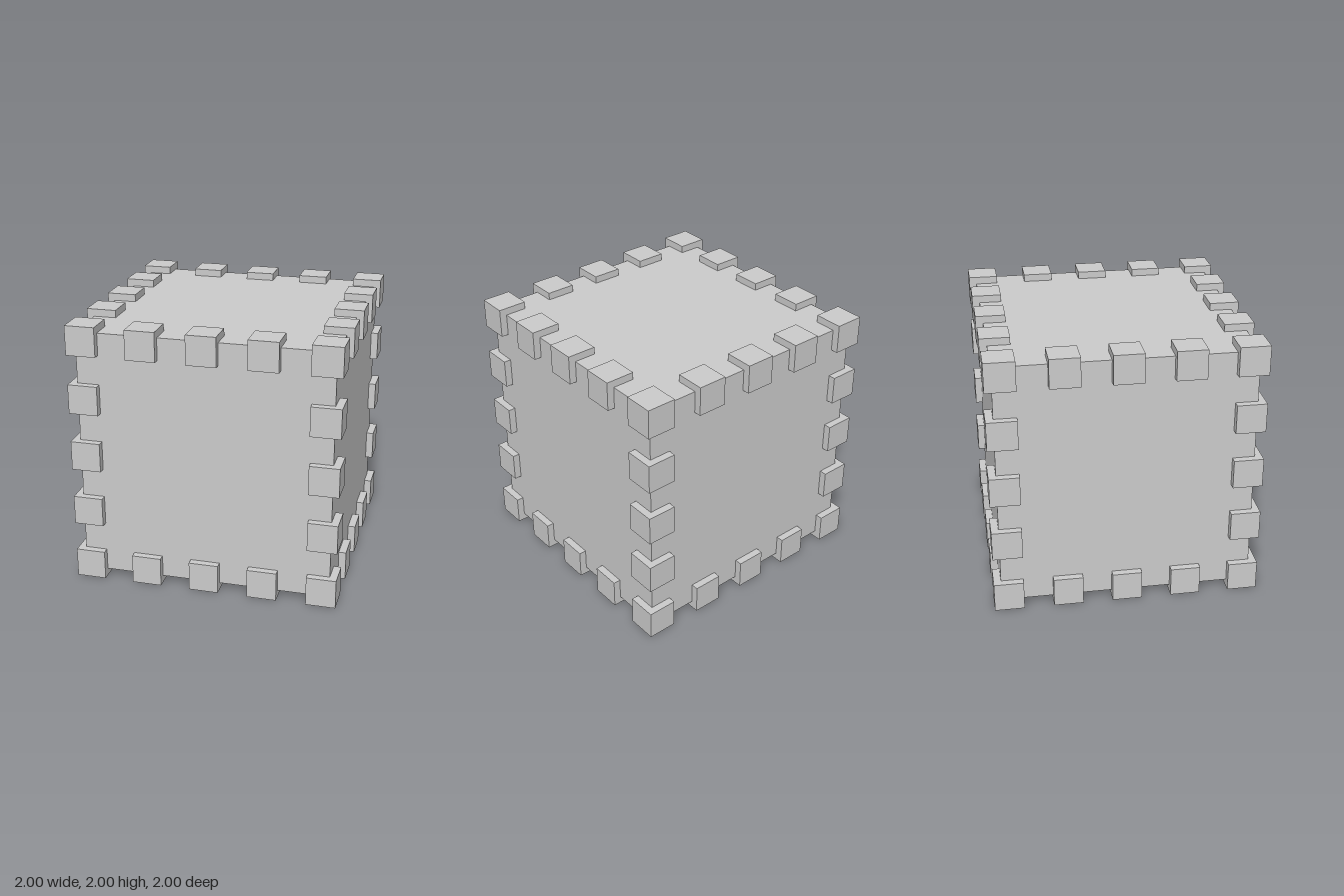
import * as THREE from 'three';

const UNIT = 2 / 9; // the cube is nine units wide: five blocks and four gaps

export function createModel() {
  const group = new THREE.Group();
  const material = new THREE.MeshStandardMaterial({ color: 0xcccccc, flatShading: true });

  // Large central cube, inset a quarter unit from the blocks
  const coreSize = UNIT * 8.5;
  const core = new THREE.Mesh(new THREE.BoxGeometry(coreSize, coreSize, coreSize), material);
  core.name = 'core';
  core.position.y = 1;
  group.add(core);

  // Small blocks along all twelve edges, shared at the corners
  const blocks = new THREE.Group();
  blocks.name = 'edgeBlocks';
  blocks.position.y = 1;
  const blockGeometry = new THREE.BoxGeometry(UNIT, UNIT, UNIT);
  for (let i = -2; i <= 2; i++) {
    for (let j = -2; j <= 2; j++) {
      for (let k = -2; k <= 2; k++) {
        const outer = [i, j, k].filter((n) => Math.abs(n) === 2).length;
        if (outer < 2) continue; // keep only edge and corner cells
        const block = new THREE.Mesh(blockGeometry, material);
        block.name = outer === 3 ? 'cornerBlock' : 'edgeBlock';
        block.position.set(i, j, k).multiplyScalar(2 * UNIT);
        blocks.add(block);
      }
    }
  }
  group.add(blocks);

  return group;
}
